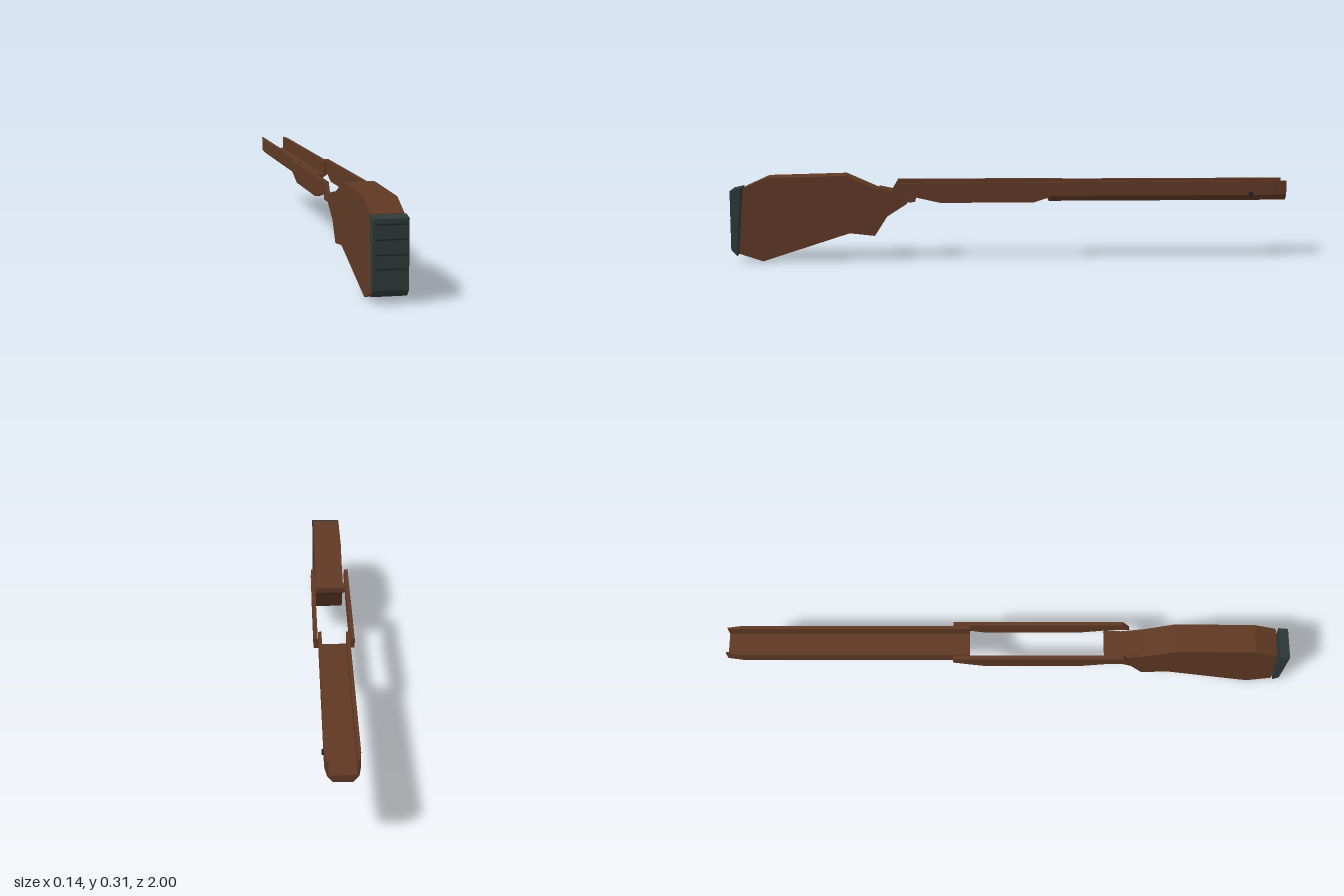
import * as THREE from 'three';

const wood = new THREE.MeshStandardMaterial({ color: 0x5e3824 });
wood.name = 'walnut brown';
const rubber = new THREE.MeshStandardMaterial({ color: 0x2f3938 });
rubber.name = 'slate rubber';
const dark = new THREE.MeshStandardMaterial({ color: 0x1d2424 });
dark.name = 'dark steel';

const toShape = (pts) => new THREE.Shape(pts.map(([a, b]) => new THREE.Vector2(a, b)));

// Side profile given as [z, y], extruded across x and centred on x = 0
function sideExtrude(pts, width) {
  const geo = new THREE.ExtrudeGeometry(toShape(pts), { depth: width, bevelEnabled: false });
  geo.translate(0, 0, -width / 2);
  geo.rotateY(-Math.PI / 2);
  return geo;
}

// Move vertices by a rule and refresh the flat normals
function reshape(geo, rule) {
  const p = geo.attributes.position;
  const v = new THREE.Vector3();
  for (let i = 0; i < p.count; i++) {
    v.fromBufferAttribute(p, i);
    rule(v);
    p.setXYZ(i, v.x, v.y, v.z);
  }
  geo.computeVertexNormals();
  return geo;
}

export function createModel() {
  const model = new THREE.Group();
  model.name = 'rifleStock';
  const add = (name, geo, mat, x = 0, y = 0, z = 0) => {
    const mesh = new THREE.Mesh(geo, mat);
    mesh.name = name;
    mesh.position.set(x, y, z);
    model.add(mesh);
    return mesh;
  };

  // Butt with grip
  add('butt', sideExtrude([
    [0.952, 0.263], [0.87, 0.3], [0.59, 0.307], [0.48, 0.258], [0.40, 0.238], [0.37, 0.205],
    [0.44, 0.16], [0.485, 0.09], [0.575, 0.1], [0.885, 0], [0.97, 0.028],
  ], 0.104), wood);

  // Tang block that widens towards the rails
  const tang = sideExtrude([[0.47, 0.262], [0.34, 0.232], [0.34, 0.213], [0.47, 0.2]], 0.12);
  add('tang', reshape(tang, (v) => { if (v.z > 0.4) v.x *= 0.6; }), wood);

  // Side rails
  for (const s of [1, -1]) {
    add(s > 0 ? 'leftRail' : 'rightRail', sideExtrude([
      [0.405, 0.282], [-0.198, 0.282], [-0.198, 0.248], [-0.085, 0.211],
      [0.25, 0.211], [0.36, 0.236], [0.432, 0.236],
    ], 0.014), wood, s * 0.064);
  }

  // Fore-end channel, narrowed at the muzzle end
  const half = [[0.03, 0.211], [0.055, 0.232], [0.055, 0.282], [0.043, 0.282], [0.043, 0.234]];
  const section = [...half, ...half.map(([x, y]) => [-x, y]).reverse()];
  const channel = new THREE.ExtrudeGeometry(toShape(section), { depth: 0.86, steps: 17, bevelEnabled: false });
  channel.translate(0, 0, -1);
  add('foreEnd', reshape(channel, (v) => {
    if (v.z < -0.99) v.x = THREE.MathUtils.clamp(v.x, -0.048, 0.048);
  }), wood);

  // Small side stud
  const stud = new THREE.CylinderGeometry(0.009, 0.009, 0.008, 8);
  stud.rotateZ(Math.PI / 2);
  add('stud', stud, dark, 0.056, 0.236, -0.87);

  // Recoil pad with its ribs
  add('recoilPad', sideExtrude([
    [0.998, 0.255], [0.962, 0.263], [0.977, 0.02], [0.998, 0.042],
  ], 0.11), rubber);
  for (const y of [0.238, 0.193, 0.148, 0.105]) {
    add('padRib', new THREE.BoxGeometry(0.094, 0.004, 0.004), dark, 0, y, 0.998);
  }
  return model;
}
